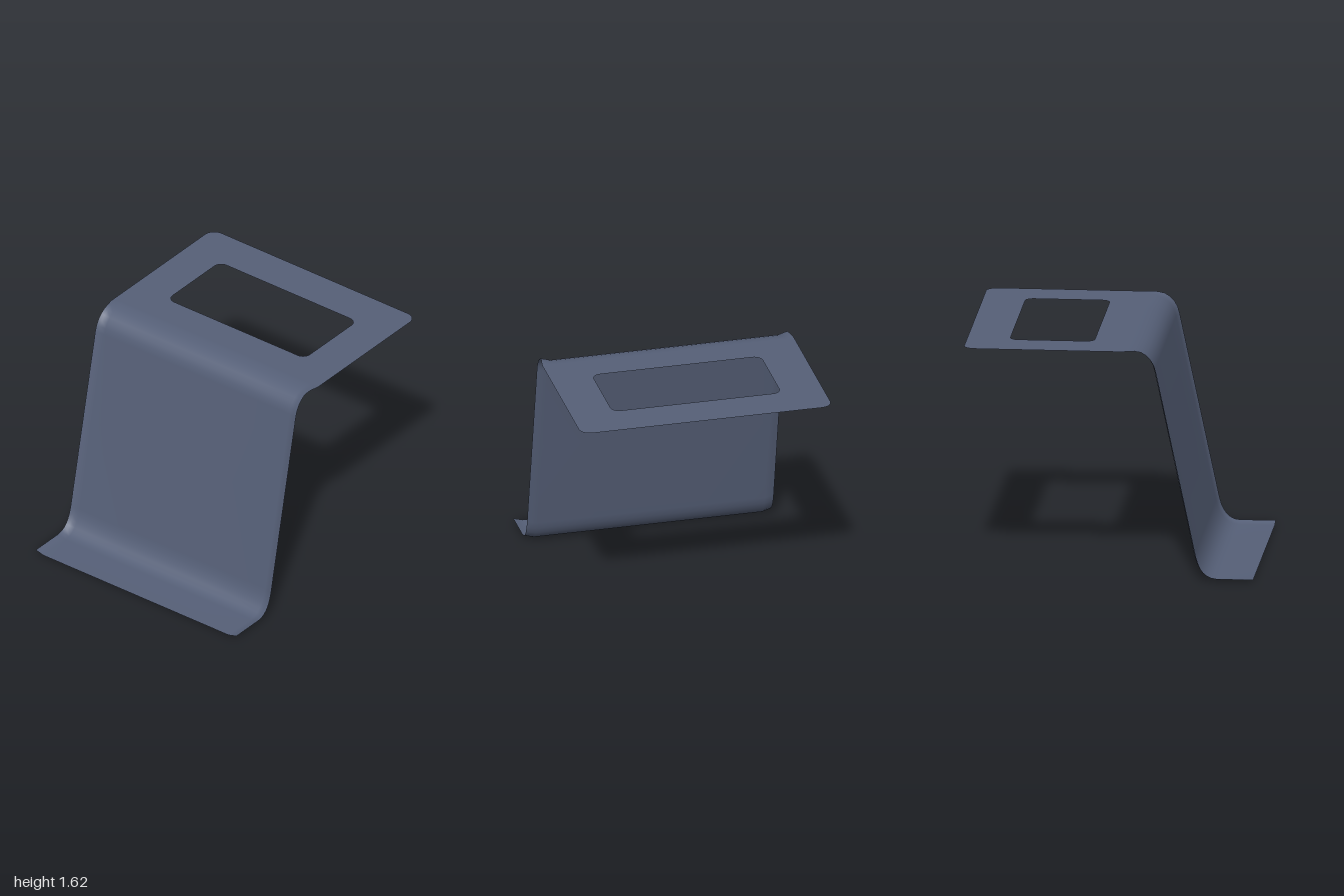
import * as THREE from 'three';

const material = new THREE.MeshStandardMaterial({ color: 0x566078, side: THREE.DoubleSide });
const TOP = 1.62;

// Rectangle with separate corner radii for the near (y0) and far (y1) ends
function roundedRect(path, w, y0, y1, r0, r1) {
  path.moveTo(-w + r0, y0);
  path.lineTo(w - r0, y0);
  if (r0) path.absarc(w - r0, y0 + r0, r0, -Math.PI / 2, 0);
  path.lineTo(w, y1 - r1);
  path.absarc(w - r1, y1 - r1, r1, 0, Math.PI / 2);
  path.lineTo(-w + r1, y1);
  path.absarc(-w + r1, y1 - r1, r1, Math.PI / 2, Math.PI);
  path.lineTo(-w, y0 + r0);
  if (r0) path.absarc(-w + r0, y0 + r0, r0, Math.PI, Math.PI * 1.5);
  return path;
}

// Flat top with a rectangular window
function topPlate() {
  const shape = roundedRect(new THREE.Shape(), 0.895, -0.1, 1, 0, 0.08);
  shape.holes.push(roundedRect(new THREE.Path(), 0.6, 0.12, 0.705, 0.06, 0.06));
  const geo = new THREE.ShapeGeometry(shape, 6).rotateX(-Math.PI / 2).translate(0, TOP, 0);
  return new THREE.Mesh(geo, material);
}

// Bent sheet: front lip, sloping panel and upper bend, side edges turned forward
function bentPanel() {
  const v = (z, y) => new THREE.Vector2(z, y);
  const lower = new THREE.QuadraticBezierCurve(v(0.75, 0), v(0.63, 0.005), v(0.593, 0.17));
  const upper = new THREE.QuadraticBezierCurve(v(0.317, 1.47), v(0.29, 1.61), v(0.13, TOP));
  const profile = [v(1, 0), ...lower.getPoints(6), v(0.455, 0.82), ...upper.getPoints(6), v(0.1, TOP)];
  // [half width, amount the edge is lifted]
  const half = [[0.877, 0.018], [0.85, 0.011], [0.81, 0], [0.4, 0]];
  const columns = [
    ...half.map(([x, lift]) => [-x, lift]), [0, 0],
    ...half.map((c) => c).reverse(),
  ];

  const positions = [], index = [];
  const n = columns.length;
  profile.forEach((p, i) => {
    const a = profile[Math.max(i - 1, 0)];
    const b = profile[Math.min(i + 1, profile.length - 1)];
    const t = b.clone().sub(a).normalize();
    // The turned edge flattens out and widens towards the top plate
    const flat = 1 - THREE.MathUtils.smoothstep(p.x, 0.1, 0.23);
    for (const [x, lift] of columns) {
      const d = lift * (1 - flat);
      positions.push(x * (1 + 0.0205 * flat), Math.min(p.y - t.x * d, TOP + 0.003), p.x + t.y * d);
    }
    if (i === profile.length - 1) return;
    for (let j = 0; j < n - 1; j++) {
      const k = i * n + j;
      index.push(k, k + 1, k + n, k + 1, k + n + 1, k + n);
    }
  });
  const geo = new THREE.BufferGeometry();
  geo.setAttribute('position', new THREE.Float32BufferAttribute(positions, 3));
  geo.setIndex(index);
  geo.computeVertexNormals();
  return new THREE.Mesh(geo, material);
}

export function createModel() {
  const group = new THREE.Group();
  group.name = 'bentSheetStand';
  const plate = topPlate();
  plate.name = 'topPlate';
  const panel = bentPanel();
  panel.name = 'bentPanel';
  group.add(plate, panel);
  return group;
}
